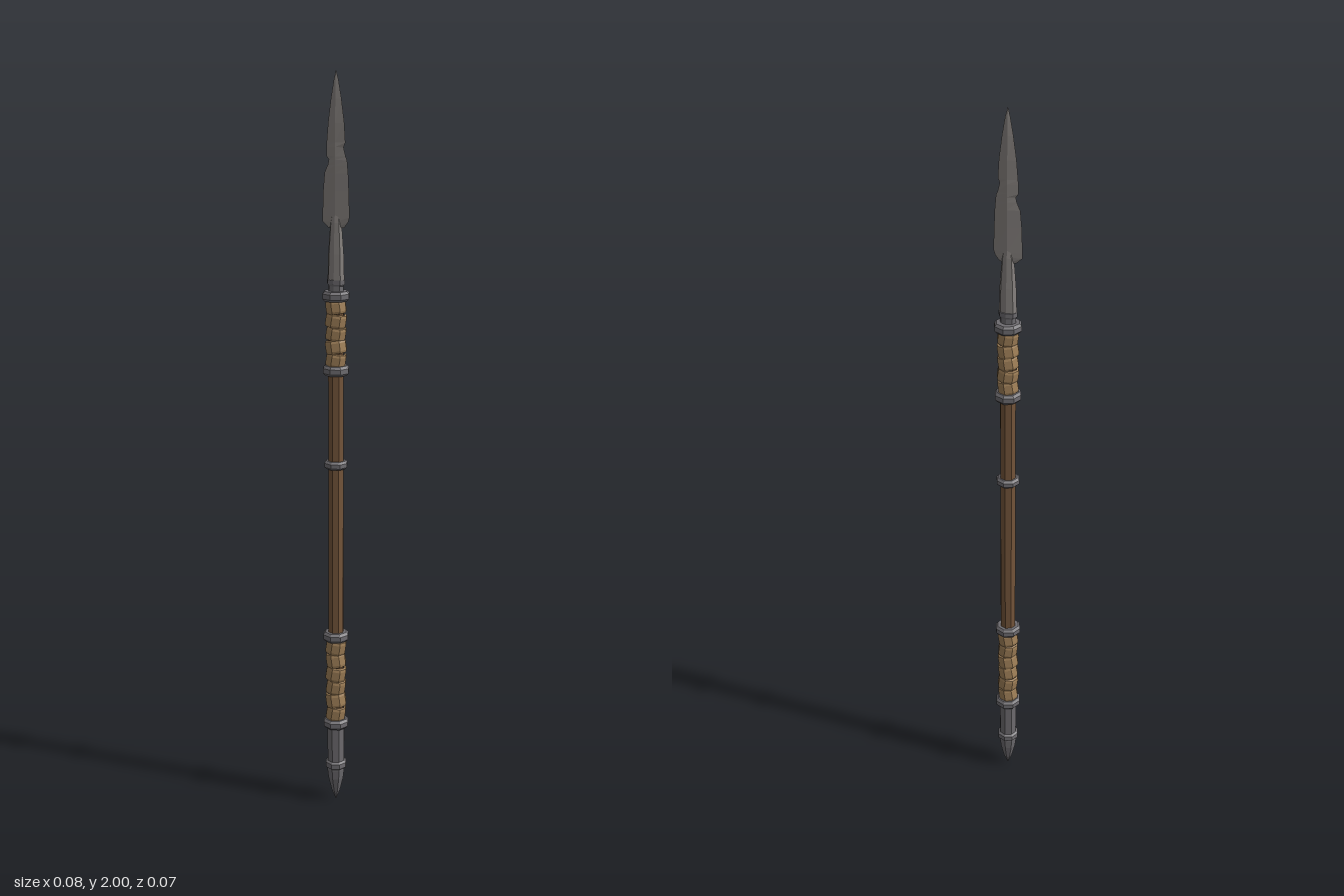
import * as THREE from 'three';

const mat = (name, color, side = THREE.FrontSide) =>
  new THREE.MeshStandardMaterial({ name, color, flatShading: true, side });

export function createModel() {
  const steel = mat('blade steel', 0x8a8582);
  const iron = mat('dark iron', 0x6e6c70);
  const wood = mat('shaft wood', 0x74553a);
  const leather = mat('leather wrap', 0xa08058);
  const spear = new THREE.Group();
  spear.name = 'spear';

  const add = (name, geometry, material, parent = spear) => {
    const mesh = new THREE.Mesh(geometry, material);
    mesh.name = name;
    parent.add(mesh);
    return mesh;
  };
  // Eight-sided turned part from [radius, height] pairs, bottom to top
  const turned = (name, profile, material, parent) =>
    add(name, new THREE.LatheGeometry(profile.map(([r, y]) => new THREE.Vector2(r, y)), 8), material, parent);

  // Shaft
  turned('shaft', [[0, 0.2], [0.0215, 0.2], [0.0215, 1.44], [0, 1.44]], wood);

  // Bevelled collars
  const collar = (name, y, r, h) => turned(name, [
    [0.018, y - h / 2], [r - 0.006, y - h / 2], [r, y - h / 4],
    [r, y + h / 4], [r - 0.006, y + h / 2], [0.018, y + h / 2],
  ], iron);
  collar('topCollar', 1.432, 0.037, 0.026);
  collar('upperCollar', 1.236, 0.036, 0.026);
  collar('middleCollar', 0.98, 0.032, 0.022);
  collar('lowerCollar', 0.493, 0.036, 0.026);
  collar('bottomCollar', 0.236, 0.036, 0.026);

  // Leather grips: overlapping, slightly tilted bands
  const grip = (name, y0, y1, count) => {
    const group = new THREE.Group();
    group.name = name;
    spear.add(group);
    const h = (y1 - y0) / count;
    for (let i = 0; i < count; i++) {
      const r = 0.028 + (i % 2) * 0.001;
      const band = turned('wrapBand', [
        [0.021, -h * 0.52], [r - 0.002, -h * 0.48], [r, -h * 0.3],
        [r, h * 0.3], [r - 0.002, h * 0.48], [0.021, h * 0.52],
      ], leather, group);
      band.position.y = y0 + h * (i + 0.5);
      band.rotation.z = i % 3 === 1 ? 0.14 : -0.16;
    }
  };
  grip('upperGrip', 1.247, 1.42, 5);
  grip('lowerGrip', 0.247, 0.482, 6);

  // Butt cap with a pointed end
  turned('buttSleeve', [[0.024, 0.105], [0.025, 0.23]], iron);
  turned('buttSpike', [
    [0, 0], [0.012, 0.03], [0.022, 0.07], [0.025, 0.095], [0.025, 0.1],
    [0.03, 0.104], [0.03, 0.118], [0.024, 0.123],
  ], iron);

  // Flattened socket under the blade
  turned('socketNeck', [[0.022, 1.44], [0.021, 1.458], [0.025, 1.463], [0.025, 1.474], [0.018, 1.474]], iron)
    .scale.z = 0.7;
  const socket = turned('socket', [[0.024, 1.465], [0.022, 1.54], [0.016, 1.62], [0.008, 1.66], [0, 1.68]], steel);
  socket.geometry.translate(0, -1.465, 0);
  socket.geometry.applyMatrix4(new THREE.Matrix4().makeScale(1, 1, 0.58));
  socket.position.y = 1.465;

  // Chipped blade: diamond sections [height, left edge, right edge, ridge depth]
  const rows = [
    [1.607, -0.022, 0.022, 0.006], [1.622, -0.038, 0.034, 0.007],
    [1.635, -0.038, 0.038, 0.007], [1.7, -0.036, 0.036, 0.006],
    [1.745, -0.032, 0.034, 0.006], [1.765, -0.023, 0.032, 0.006],
    [1.778, -0.02, 0.031, 0.006], [1.787, -0.027, 0.027, 0.006],
    [1.81, -0.027, 0.021, 0.006], [1.822, -0.026, 0.026, 0.005],
    [1.87, -0.022, 0.023, 0.005], [1.93, -0.014, 0.015, 0.004],
    [1.975, -0.006, 0.007, 0.002], [2, 0, 0, 0],
  ];
  const points = [], index = [];
  rows.forEach(([y, l, r, d], i) => {
    points.push(l, y, 0, 0, y, d, r, y, 0, 0, y, -d);
    for (let k = 0; i && k < 4; k++) {
      const a = (i - 1) * 4 + k, b = (i - 1) * 4 + (k + 1) % 4;
      index.push(a, b, b + 4, a, b + 4, a + 4);
    }
  });
  index.push(0, 2, 1, 0, 3, 2);
  const blade = new THREE.BufferGeometry();
  blade.setAttribute('position', new THREE.Float32BufferAttribute(points, 3));
  blade.setIndex(index);
  blade.computeVertexNormals();
  add('blade', blade, steel);

  return spear;
}
